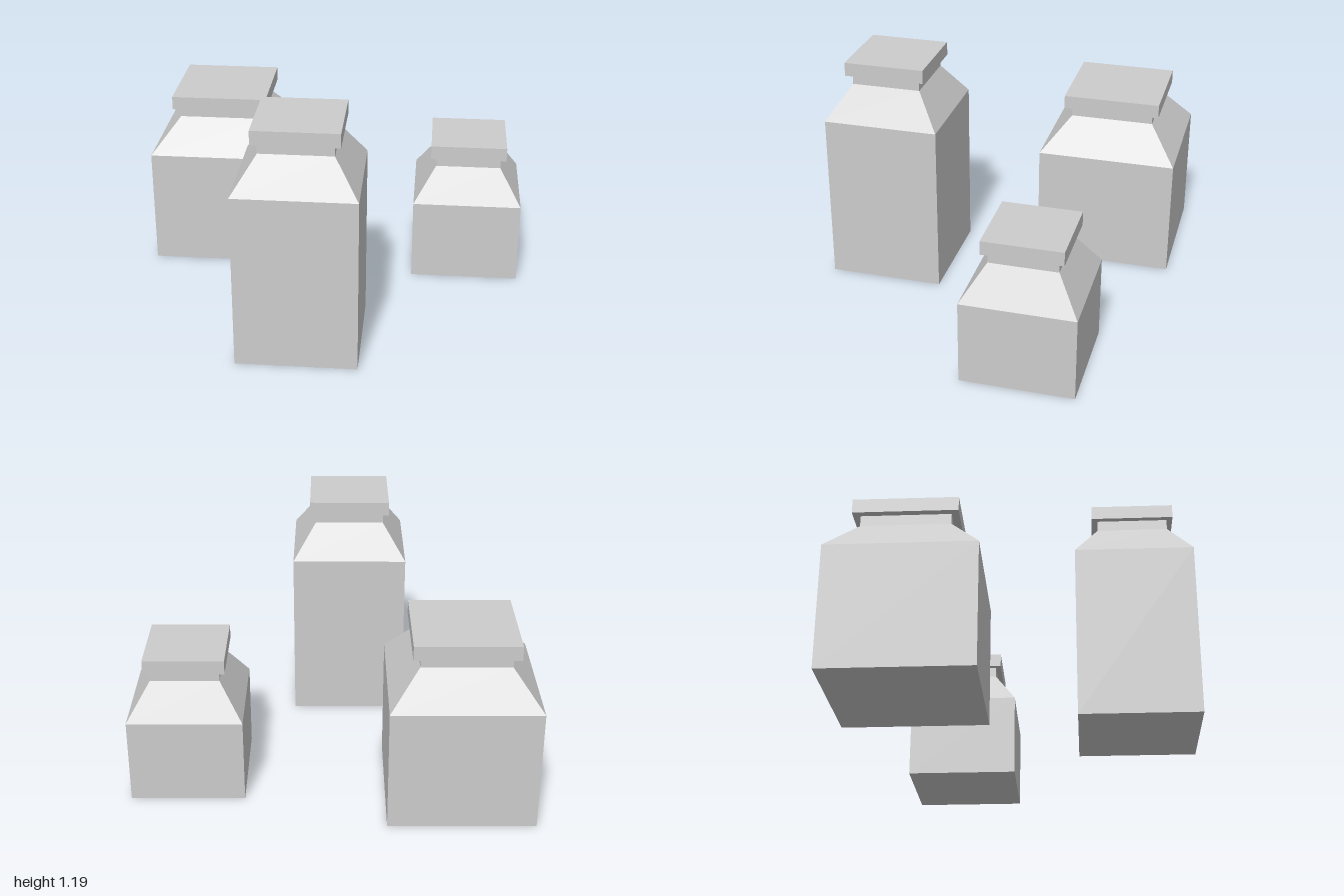
import * as THREE from 'three';

const grey = new THREE.MeshStandardMaterial({ color: 0xcccccc, flatShading: true });
grey.name = 'lightGrey';

// Four-sided open sleeve, given bottom and top widths
function sleeve(bottom, top, height) {
  const r = Math.SQRT1_2;
  const geometry = new THREE.CylinderGeometry(top * r, bottom * r, height, 4, 1, true, Math.PI / 4).toNonIndexed();
  geometry.computeVertexNormals();
  return geometry;
}

// Square jar: body, sloped shoulder, narrow neck and overhanging lid
function makeJar({ name, x, z, width, body }) {
  const jar = new THREE.Group();
  jar.name = name;
  jar.position.set(x, 0, z);
  const neckW = width * 0.6, lidW = width * 0.7;
  const shoulderH = 0.177, neckH = 0.054, lidH = 0.071;
  let y = 0;
  const stack = (part, geometry, height) => {
    const mesh = new THREE.Mesh(geometry, grey);
    mesh.name = part;
    mesh.position.y = y + height / 2;
    y += height;
    jar.add(mesh);
  };
  stack('body', new THREE.BoxGeometry(width, body, width), body);
  stack('shoulder', sleeve(width, neckW, shoulderH), shoulderH);
  stack('neck', sleeve(neckW, neckW, neckH), neckH);
  stack('lid', new THREE.BoxGeometry(lidW, lidH, lidW), lidH);
  return jar;
}

export function createModel() {
  const model = new THREE.Group();
  model.name = 'jarSet';
  const jars = [
    { name: 'wideJar', x: -0.637, z: -0.517, width: 0.726, body: 0.62 },
    { name: 'tallJar', x: -0.098, z: 0.579, width: 0.6, body: 0.892 },
    { name: 'smallJar', x: 0.715, z: -0.357, width: 0.57, body: 0.43 },
  ];
  for (const jar of jars) model.add(makeJar(jar));
  return model;
}
